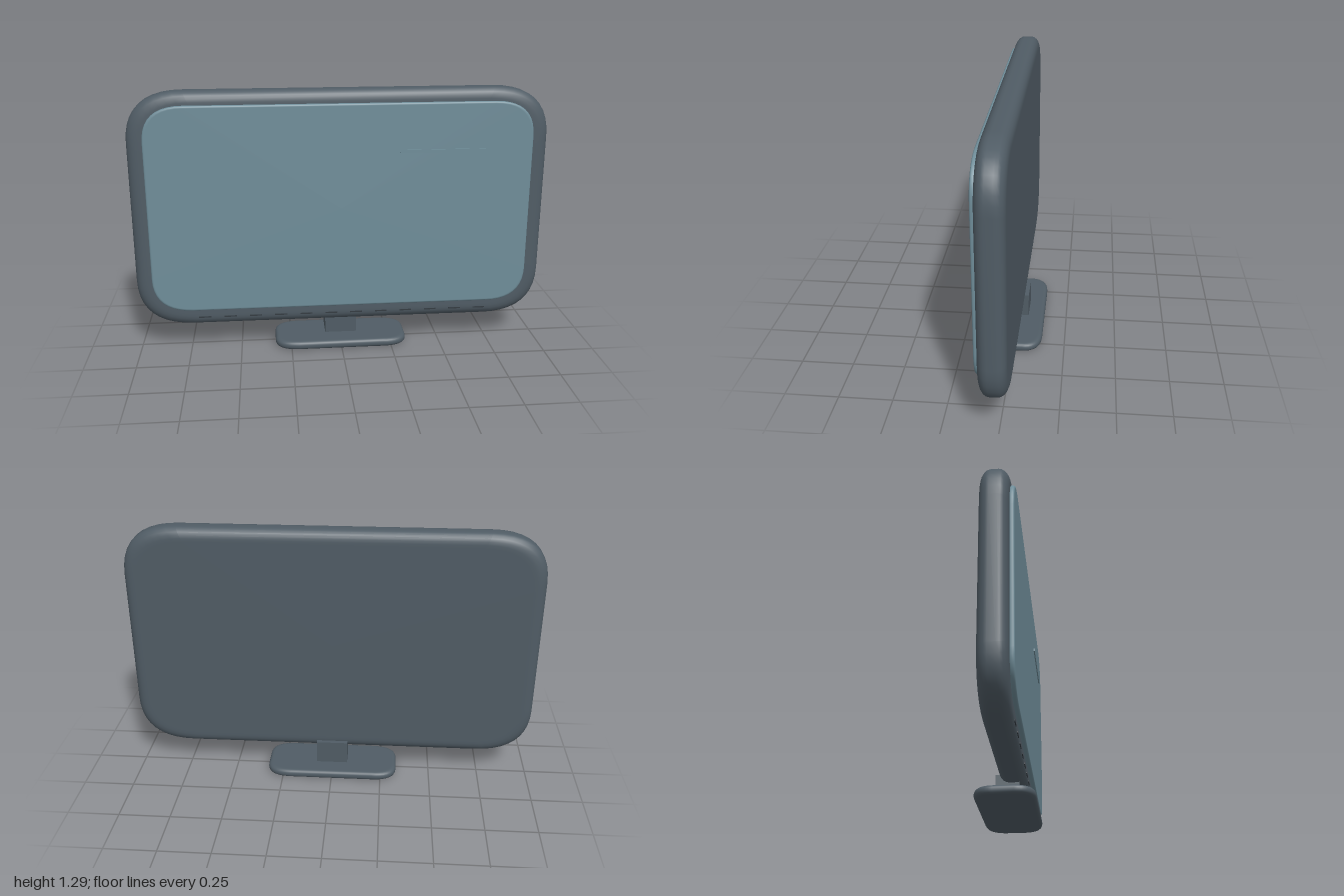
import * as THREE from 'three';

const casing = new THREE.MeshStandardMaterial({ color: 0x505c65 });
casing.name = 'slate casing';
const glass = new THREE.MeshStandardMaterial({ color: 0x6f8d99 });
glass.name = 'blue grey screen';
const dark = new THREE.MeshStandardMaterial({ color: 0x343c42 });
dark.name = 'dark vents';

// Closed outline with soft corners, counterclockwise in x and y
function outline(hw, hh, rx, ry, steps = 10) {
  const points = [];
  for (const [sx, sy] of [[1, 1], [-1, 1], [-1, -1], [1, -1]]) {
    const a = new THREE.Vector2(sx * hw, sy * (hh - ry));
    const b = new THREE.Vector2(sx * (hw - rx), sy * hh);
    const corner = new THREE.Vector2(sx * hw, sy * hh);
    const curve = sx * sy > 0
      ? new THREE.QuadraticBezierCurve(a, corner, b)
      : new THREE.QuadraticBezierCurve(b, corner, a);
    points.push(...curve.getPoints(steps));
  }
  return points;
}

// Pillowed slab along z: rings of the outline, each pulled in by an inset
function softSlab(hw, hh, rx, ry, rings) {
  const positions = [], indices = [];
  let n = 0;
  for (const [inset, z] of rings) {
    const ring = outline(hw - inset, hh - inset, rx - inset * 0.5, ry - inset * 0.5);
    n = ring.length;
    for (const p of ring) positions.push(p.x, p.y, z);
  }
  const last = rings.length - 1;
  for (let i = 0; i < last; i++) {
    for (let j = 0; j < n; j++) {
      const k = (j + 1) % n;
      const a = i * n + j, b = i * n + k, c = a + n, d = b + n;
      indices.push(a, b, d, a, d, c);
    }
  }
  // flat caps
  const back = positions.length / 3, front = back + 1;
  positions.push(0, 0, rings[0][1], 0, 0, rings[last][1]);
  for (let j = 0; j < n; j++) {
    const k = (j + 1) % n;
    indices.push(back, k, j, front, last * n + j, last * n + k);
  }
  const geometry = new THREE.BufferGeometry();
  geometry.setAttribute('position', new THREE.Float32BufferAttribute(positions, 3));
  geometry.setIndex(indices);
  geometry.computeVertexNormals();
  return geometry;
}

// Rounded edge rings from z0 to z1 with bevel width w and depth d
function bevelRings(z0, z1, w, d, steps = 5) {
  const half = [];
  for (let i = 0; i <= steps; i++) {
    const t = (i / steps) * Math.PI / 2;
    half.push([w * (1 - Math.sin(t)), d * (1 - Math.cos(t))]);
  }
  const inner = w * 1.3;
  return [
    [inner, z0],
    ...half.map(([inset, depth]) => [inset, z0 + depth]),
    ...half.reverse().map(([inset, depth]) => [inset, z1 - depth]),
    [inner, z1],
  ];
}

export function createModel() {
  const model = new THREE.Group();
  model.name = 'monitor';

  function add(name, geometry, material, x, y, z, parent = model) {
    const mesh = new THREE.Mesh(geometry, material);
    mesh.name = name;
    mesh.position.set(x, y, z);
    parent.add(mesh);
    return mesh;
  }

  // Casing and screen
  add('casing', softSlab(1, 0.58, 0.27, 0.24, bevelRings(-0.04, 0.084, 0.05, 0.045)), casing, 0, 0.712, 0);
  add('screen', softSlab(0.92, 0.505, 0.19, 0.17, bevelRings(0.08, 0.104, 0.008, 0.008, 3)), glass, 0, 0.725, 0);

  // Reflection strip on the screen
  add('reflectionStrip', new THREE.BoxGeometry(0.41, 0.014, 0.008), glass, 0.485, 1.0, 0.106);

  // Row of vent slots under the screen
  const vents = new THREE.Group();
  vents.name = 'vents';
  model.add(vents);
  for (let i = 0; i < 12; i++) {
    add('vent', new THREE.BoxGeometry(0.06, 0.006, 0.009), dark, -0.675 + i * 0.125, 0.177, 0.082, vents);
  }

  // Stand
  add('neck', new THREE.BoxGeometry(0.156, 0.116, 0.11), casing, 0, 0.112, -0.004);
  const base = add('base', softSlab(0.33, 0.138, 0.12, 0.09, bevelRings(0, 0.042, 0.018, 0.018)), casing, 0, 0, 0);
  base.rotation.x = -Math.PI / 2;

  return model;
}
